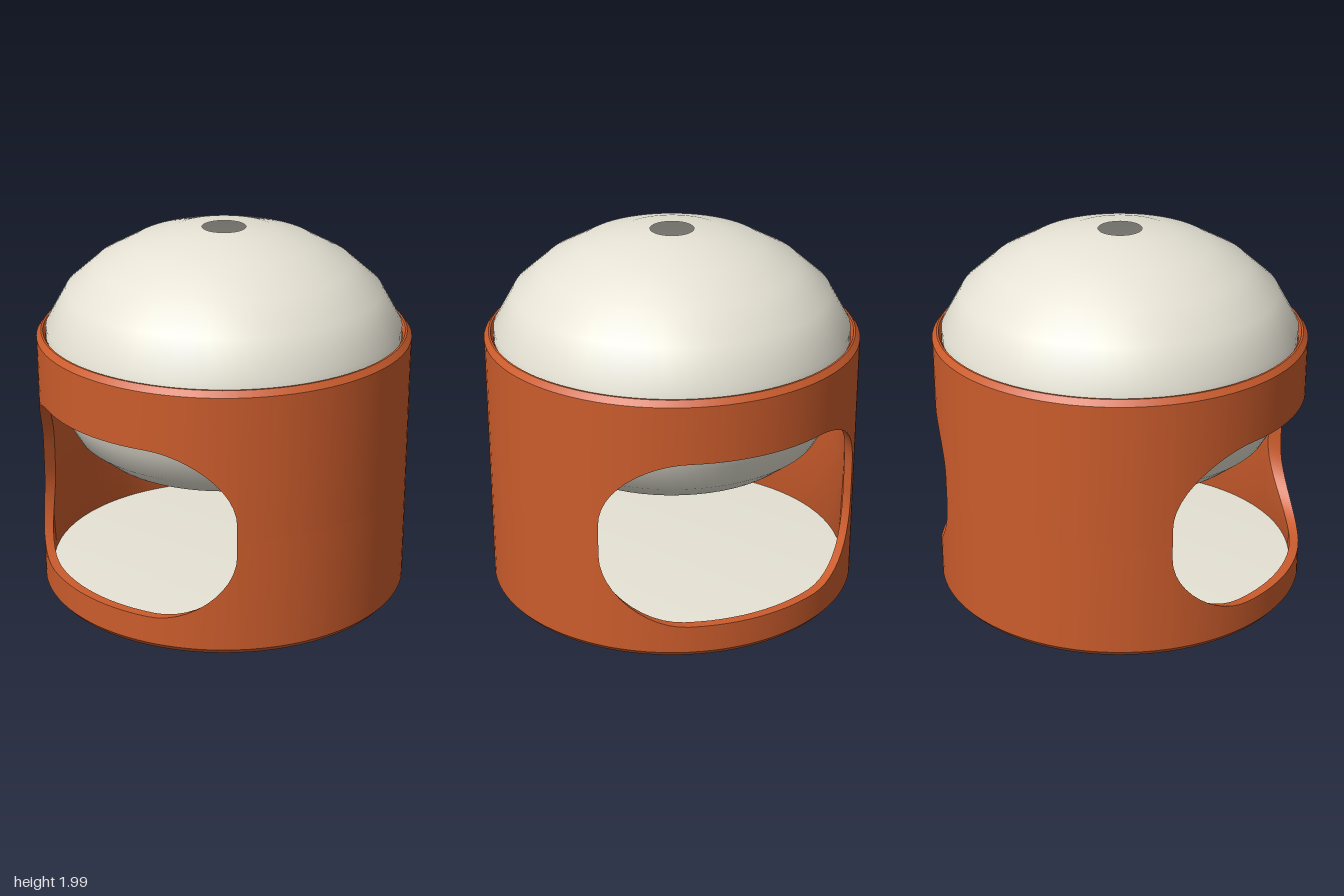
import * as THREE from 'three';
import { toCreasedNormals } from 'three/addons/utils/BufferGeometryUtils.js';

const INNER = 0.95, TOP = 1.445;
// window: rounded rectangle cut straight through along z
const WIN = { half: 0.75, flat: 0.37, low: 0.18, high: 1.107, ry: 0.38 };

// Columns of the wall, as [outer angle, inner angle, window bottom, window top]
function wallColumns() {
  const mid = (WIN.low + WIN.high) / 2;
  const right = [];
  const cut = (x, lo, hi) => right.push([Math.asin(x), Math.asin(x / INNER), lo, hi]);
  for (let i = 0; i < 6; i++) cut((WIN.flat * i) / 6, WIN.low, WIN.high);
  for (let i = 0; i <= 12; i++) {
    const t = (i / 12) * Math.PI / 2;
    const rise = WIN.ry * (1 - Math.cos(t));
    cut(WIN.flat + (WIN.half - WIN.flat) * Math.sin(t), WIN.low + rise, WIN.high - rise);
  }
  // solid pillar from the window edge to the side
  const o = Math.asin(WIN.half), n = Math.asin(WIN.half / INNER);
  for (let i = 0; i <= 10; i++) {
    const s = i / 10;
    right.push([o + (Math.PI / 2 - o) * s, n + (Math.PI / 2 - n) * s, mid, mid]);
  }
  const left = right.slice(1).reverse().map(([a, b, lo, hi]) => [-a, -b, lo, hi]);
  const front = [...left, ...right];
  const back = front.slice(1).map(([a, b, lo, hi]) => [a + Math.PI, b + Math.PI, lo, hi]);
  return [...front, ...back];
}

// Sweep a closed cross-section around the columns
function sweep(columns, section, revealEdge) {
  const rings = columns.map((c) => section(c[2], c[3]).map(([r, y]) => {
    const a = r < 0.967 ? c[1] : c[0];
    return new THREE.Vector3(r * Math.sin(a), y, r * Math.cos(a));
  }));
  const pos = [];
  const tri = (a, b, c) => {
    const area = b.clone().sub(a).cross(c.clone().sub(a)).length();
    if (area > 1e-7) for (const p of [a, b, c]) pos.push(p.x, p.y, p.z);
  };
  for (let i = 0; i + 1 < rings.length; i++) {
    const solid = columns[i][2] === columns[i][3] && columns[i + 1][2] === columns[i + 1][3];
    const p = rings[i], q = rings[i + 1];
    for (let k = 0; k < p.length; k++) {
      if (solid && k === revealEdge) continue;
      const m = (k + 1) % p.length;
      tri(p[k], q[k], q[m]);
      tri(p[k], q[m], p[m]);
    }
  }
  const g = new THREE.BufferGeometry();
  g.setAttribute('position', new THREE.Float32BufferAttribute(pos, 3));
  return toCreasedNormals(g, 0.5);
}

// Smooth turned part from [radius, height] points
function turned(points) {
  return new THREE.LatheGeometry(points.map(([r, y]) => new THREE.Vector2(r, y)), 72);
}

export function createModel() {
  const orange = new THREE.MeshStandardMaterial({ color: 0xcb5c2c });
  orange.name = 'burnt orange';
  const cream = new THREE.MeshStandardMaterial({ color: 0xe6e3d5, side: THREE.DoubleSide });
  cream.name = 'warm cream';

  const model = new THREE.Group();
  const add = (name, geometry, material) => {
    const mesh = new THREE.Mesh(geometry, material);
    mesh.name = name;
    model.add(mesh);
  };

  // Cylindrical housing, split at the windows into a lower and an upper band
  const columns = wallColumns();
  add('lowerHousing', sweep(columns, (lo) =>
    [[INNER, 0.025], [0.96, 0], [0.975, 0], [1, 0.03], [1, lo], [INNER, lo]], 4), orange);
  add('upperHousing', sweep(columns, (lo, hi) =>
    [[INNER, hi], [1, hi], [1, 1.415], [0.975, TOP], [0.965, TOP], [INNER, 1.42]], 0), orange);

  // Hollow globe with a small opening at the top
  add('globe', turned([
    [0, 0.745], [0.52, 0.745], [0.69, 0.78], [0.80, 0.87], [0.885, 1.02], [0.925, 1.15],
    [0.948, 1.3], [0.948, 1.47], [0.84, 1.66], [0.68, 1.80], [0.48, 1.91], [0.27, 1.97], [0.115, 1.985],
  ]), cream);

  // Softly shaded floor plate just inside the bottom rim
  add('floor', turned([[0, 0.035], [INNER, 0.035], [INNER, 0.085], [0, 0.085]]), cream);

  return model;
}
